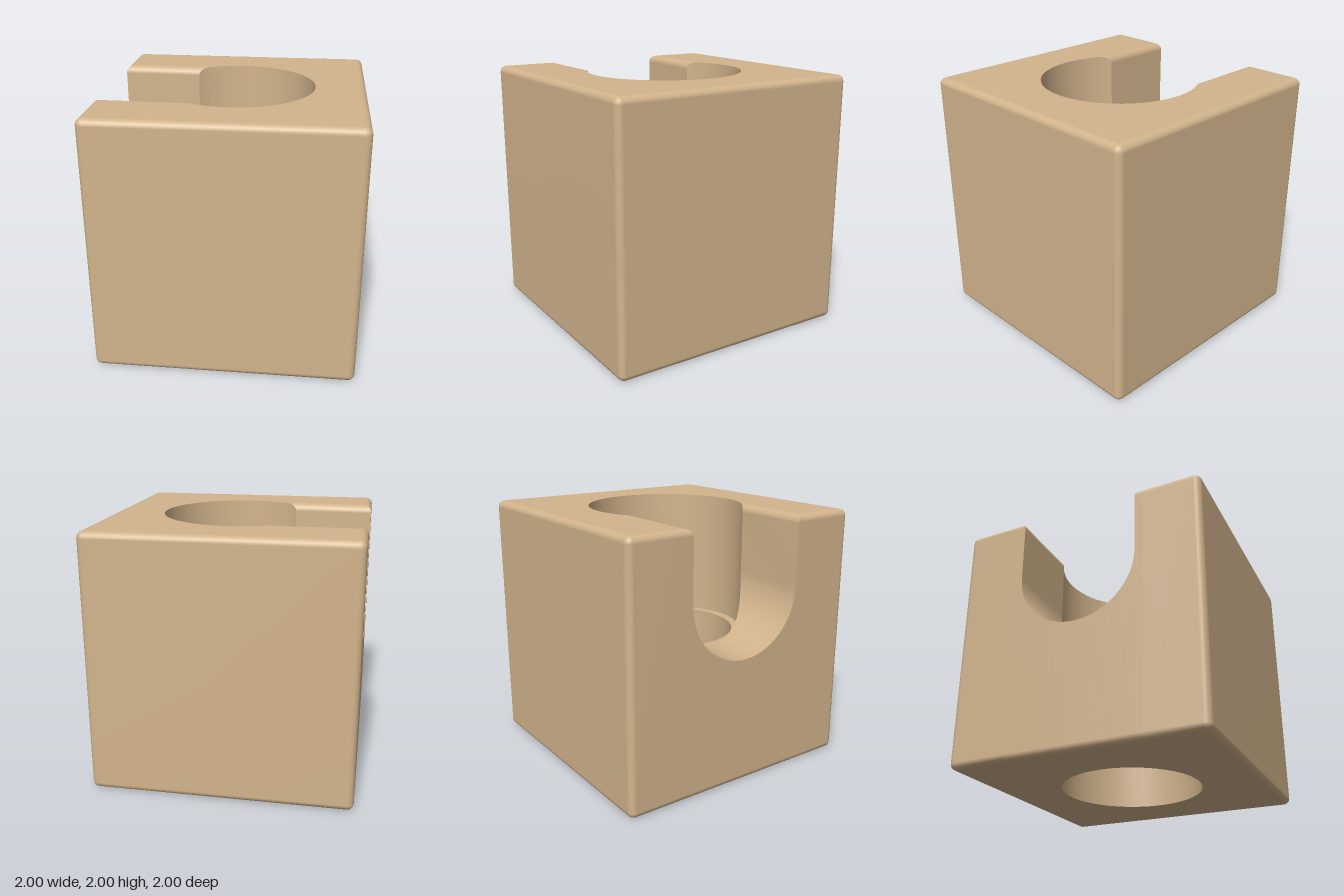
import * as THREE from 'three';

const EDGE = 0.05;    // rounding of the block's edges
const BORE = 0.545;   // lower hole radius
const WIDE = 0.61;    // upper hole radius
const SLOT = 0.48;    // half width of the slot
const LIP = 0.06;     // rounding of the slot's top edges
const CENTRE = 1.47;  // height of the slot's round bottom centre
const LEDGE = CENTRE - SLOT;
const V = (x, y, z) => new THREE.Vector3(x, y, z);

// Skin a grid of points given as rows; the front faces rowDirection x columnDirection
function loft(rows, { closed = false, flip = false } = {}) {
  const n = rows[0].length, index = [], pts = rows.flat();
  const tri = (a, b, c) => {
    if (new THREE.Triangle(pts[a], pts[b], pts[c]).getArea() < 1e-9) return;
    index.push(...(flip ? [a, c, b] : [a, b, c]));
  };
  for (let j = 0; j < rows.length - 1; j++) {
    for (let i = 0; i < (closed ? n : n - 1); i++) {
      const k = (i + 1) % n, a = j * n + i, b = j * n + k;
      tri(a, a + n, b);
      tri(a + n, b + n, b);
    }
  }
  const g = new THREE.BufferGeometry().setFromPoints(pts);
  g.setIndex(index);
  g.computeVertexNormals();
  return g;
}

// How far the outer wall draws in near the top and bottom
function inset(y) {
  const d = Math.max(y - (2 - EDGE), EDGE - y, 0);
  return EDGE - Math.sqrt(Math.max(EDGE * EDGE - d * d, 0));
}

// Slot cross-section as { z, h }, from the +z lip round the bottom to the -z lip
function slotProfile() {
  const half = [];
  for (let i = 0; i <= 6; i++) {
    const a = (i / 6) * Math.PI / 2;
    half.push({ z: SLOT + LIP - LIP * Math.sin(a), h: 2 - LIP + LIP * Math.cos(a) });
  }
  for (let i = 0; i <= 14; i++) {
    const a = (i / 14) * Math.PI / 2;
    half.push({ z: SLOT * Math.cos(a), h: CENTRE - SLOT * Math.sin(a) });
  }
  const mirrored = half.slice(0, -1).reverse().map(p => ({ z: -p.z, h: p.h }));
  return [...half, ...mirrored];
}

const circle = (r, y, n = 48) => Array.from({ length: n }, (_, i) => {
  const a = (i / n) * Math.PI * 2;
  return V(r * Math.cos(a), y, r * Math.sin(a));
});

export function createModel() {
  const group = new THREE.Group();
  const tan = new THREE.MeshStandardMaterial({ color: 0xd2b48c });
  tan.name = 'tan';
  const add = (name, geometry) => {
    const mesh = new THREE.Mesh(geometry, tan);
    mesh.name = name;
    group.add(mesh);
  };
  const profile = slotProfile();
  const s = 1 - EDGE;
  const wideX = z => -Math.sqrt(WIDE * WIDE - z * z);

  // Outer walls: four rounded corners, with the slot's outline cut into the -x side
  const columns = [];
  [[-s, -s], [s, -s], [s, s], [-s, s]].forEach(([x, z], c) => {
    for (let i = 0; i <= 5; i++) {
      const a = (c - 2 + i / 5) * Math.PI / 2;
      columns.push({ x, z, nx: Math.cos(a), nz: Math.sin(a), h: 2 });
    }
  });
  profile.forEach(p => columns.push({ x: -s, z: p.z, nx: -1, nz: 0, h: p.h }));
  const levels = [];
  for (let i = 0; i <= 5; i++) levels.push(EDGE - EDGE * Math.cos((i / 5) * Math.PI / 2));
  for (let i = 0; i <= 5; i++) levels.push(2 - EDGE + EDGE * Math.sin((i / 5) * Math.PI / 2));
  add('outerWalls', loft(levels.map(level => columns.map(c => {
    const y = Math.min(level, c.h), r = EDGE - inset(y);
    return V(c.x + c.nx * r, y, c.z + c.nz * r);
  })), { closed: true }));

  // Slot channel from the -x side to the wide hole
  add('slotChannel', loft([
    profile.map(p => V(-1 + inset(p.h), p.h, p.z)),
    profile.map(p => V(wideX(p.z), p.h, p.z)),
  ]));

  // Wide upper hole, open where the slot meets it
  const lipZ = SLOT + LIP, a0 = Math.atan2(lipZ, wideX(lipZ));
  const arc = Array.from({ length: 41 }, (_, i) => {
    const a = -a0 + (i / 40) * 2 * a0;
    return { x: WIDE * Math.cos(a), z: WIDE * Math.sin(a), h: 2 };
  });
  const rim = [...profile.map(p => ({ x: wideX(p.z), ...p })), ...arc.slice(1, -1)];
  add('upperHoleWall', loft([
    rim.map(p => V(p.x, LEDGE, p.z)),
    rim.map(p => V(p.x, p.h, p.z)),
  ], { closed: true, flip: true }));

  // Ledge and lower hole
  add('ledge', new THREE.RingGeometry(BORE, WIDE, 48).rotateX(-Math.PI / 2).translate(0, LEDGE, 0));
  add('lowerHoleWall', loft([circle(BORE, 0), circle(BORE, LEDGE)], { closed: true, flip: true }));

  // Top face, following the slot lips and the wide hole
  const top = new THREE.Shape([
    [-s, -lipZ], [-s, -s], [s, -s], [s, s], [-s, s], [-s, lipZ],
    ...arc.map(p => [p.x, p.z]).reverse(),
  ].map(([x, z]) => new THREE.Vector2(x, -z)));
  add('topFace', new THREE.ShapeGeometry(top).rotateX(-Math.PI / 2).translate(0, 2, 0));

  // Bottom face with the lower hole
  const bottom = new THREE.Shape([[-s, -s], [s, -s], [s, s], [-s, s]].map(p => new THREE.Vector2(...p)));
  bottom.holes.push(new THREE.Path(circle(BORE, 0).map(p => new THREE.Vector2(p.x, p.z))));
  add('bottomFace', new THREE.ShapeGeometry(bottom).rotateX(Math.PI / 2));

  return group;
}
